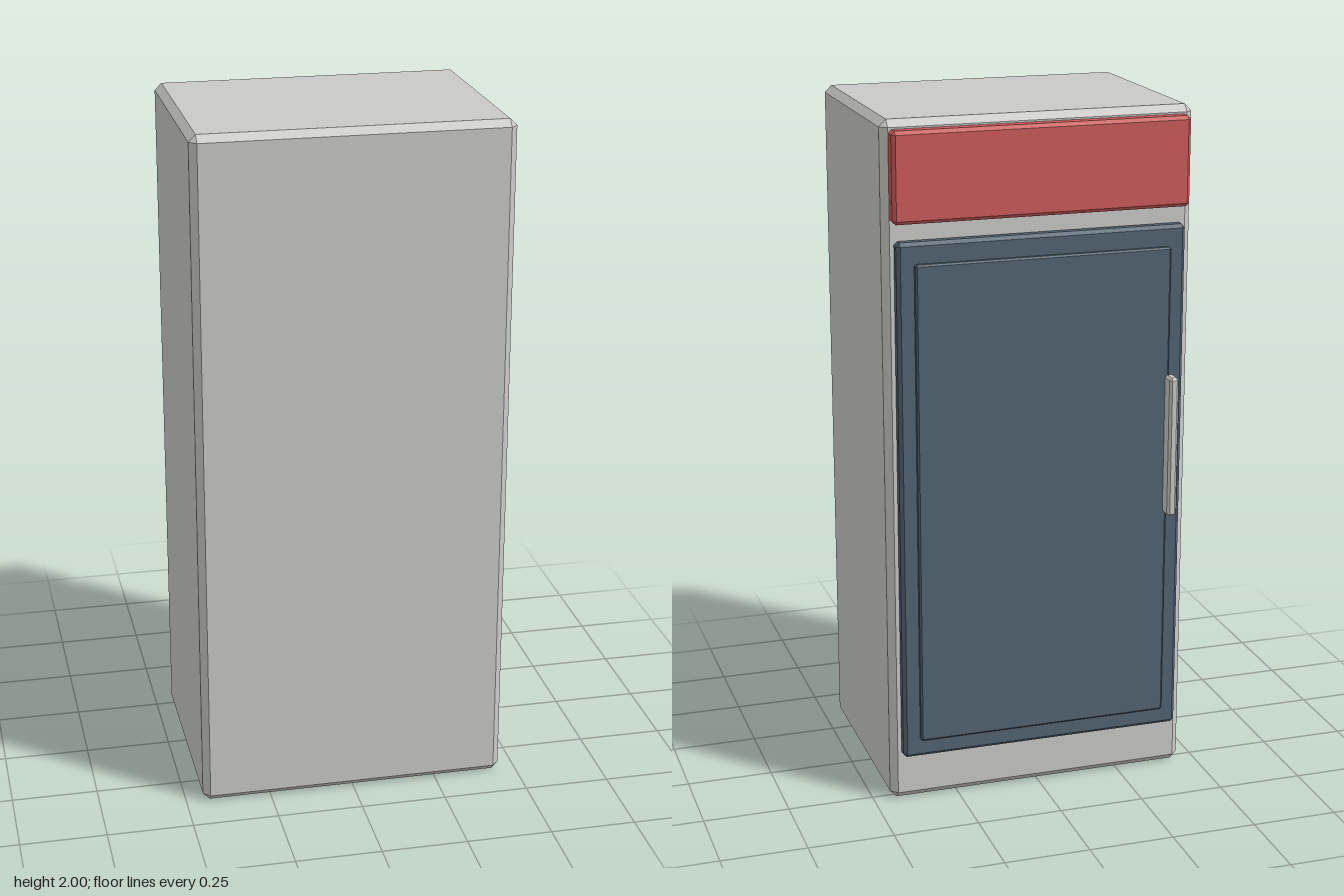
import * as THREE from 'three';
import { ConvexGeometry } from 'three/addons/geometries/ConvexGeometry.js';

const mat = (name, color) => {
  const m = new THREE.MeshStandardMaterial({ color });
  m.name = name;
  return m;
};

// Box with flat chamfers of width b on every edge, given by its min and max corners
function chamferBox(name, material, min, max, b) {
  const half = max.map((v, i) => (v - min[i]) / 2);
  const points = [];
  for (const sx of [-1, 1]) for (const sy of [-1, 1]) for (const sz of [-1, 1]) {
    for (let axis = 0; axis < 3; axis++) {
      const p = [sx, sy, sz].map((s, i) => s * (half[i] - (i === axis ? 0 : b)));
      points.push(new THREE.Vector3(...p));
    }
  }
  const mesh = new THREE.Mesh(new ConvexGeometry(points), material);
  mesh.name = name;
  mesh.position.set(...min.map((v, i) => (v + max[i]) / 2));
  return mesh;
}

export function createModel() {
  const casing = mat('light grey casing', 0xc9c9c7);
  const red = mat('red sign', 0xcb5a5a);
  const glass = mat('dark blue glass', 0x526472);

  const group = new THREE.Group();
  group.name = 'displayFridge';
  group.add(
    // Cabinet
    chamferBox('cabinet', casing, [-0.45, 0, -0.285], [0.45, 2, 0.382], 0.02),
    // Header sign above the door
    chamferBox('headerSign', red, [-0.43, 1.72, -0.325], [0.43, 1.975, -0.275], 0.01),
    // Door, its raised pane and the handle
    chamferBox('door', glass, [-0.42, 0.145, -0.322], [0.42, 1.67, -0.281], 0.01),
    chamferBox('doorPane', glass, [-0.372, 0.2, -0.338], [0.372, 1.61, -0.315], 0.005),
    chamferBox('handle', casing, [-0.387, 0.825, -0.382], [-0.359, 1.24, -0.334], 0.007),
  );
  return group;
}
